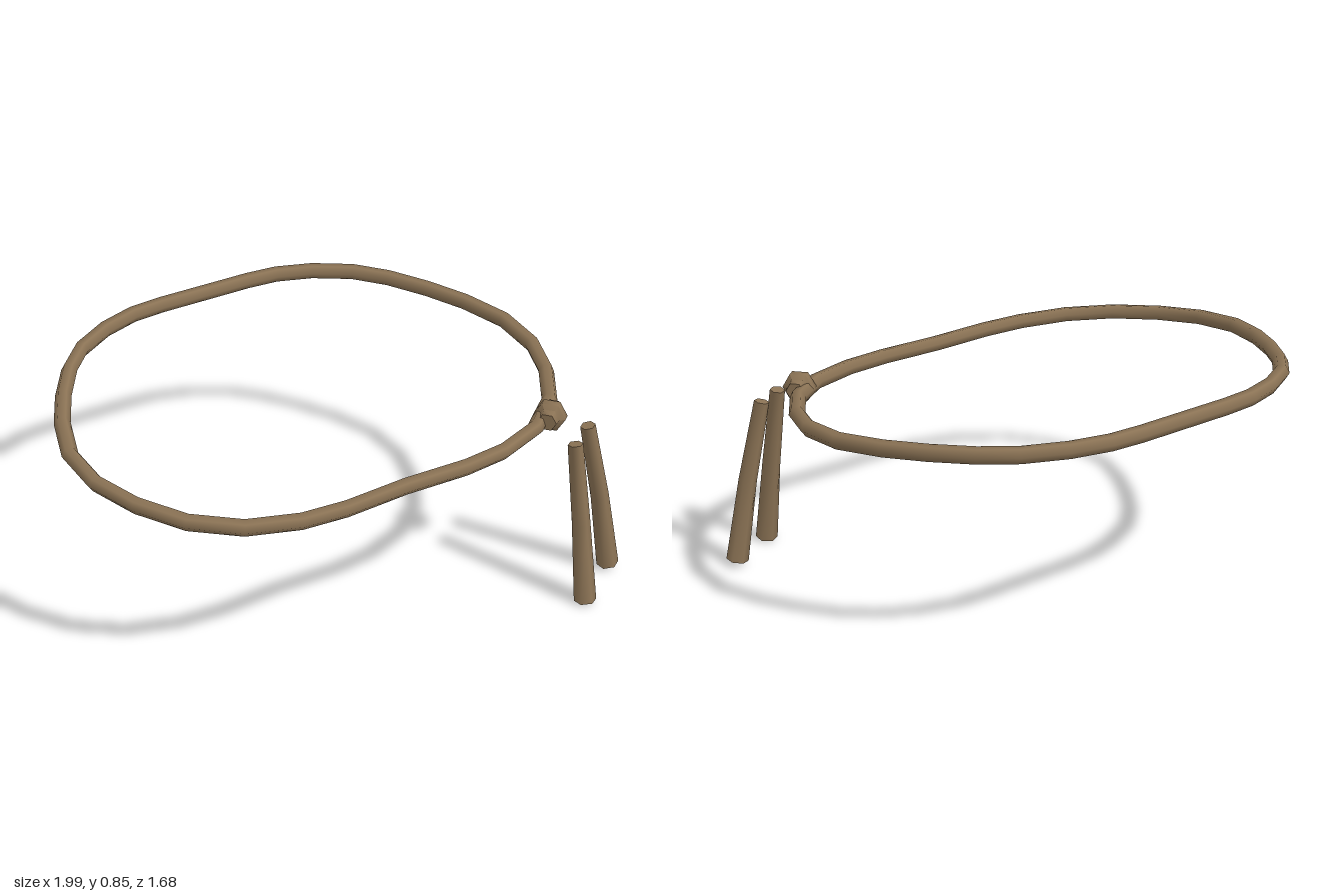
import * as THREE from 'three';
import { toCreasedNormals } from 'three/addons/utils/BufferGeometryUtils.js';

const CENTRE_X = -0.01;
const SIDES = 6;

// Half of the loop outline (x offset, z), from the back middle to the front middle
const HALF_LOOP = [
  [0.2, -0.81], [0.33, -0.8], [0.475, -0.755], [0.62, -0.672], [0.725, -0.563],
  [0.82, -0.42], [0.9, -0.265], [0.96, -0.08], [0.955, 0.115], [0.89, 0.292],
  [0.78, 0.458], [0.622, 0.578], [0.43, 0.64], [0.255, 0.655],
];

// Loop tilts gently: higher at the back
const loopPoint = (x, z) => new THREE.Vector3(CENTRE_X + x, 0.755 - 0.085 * z, z);

// Straight runs between points, with one tube ring on each point
class PolylineCurve extends THREE.Curve {
  constructor(points) {
    super();
    this.points = points;
  }
  getUtoTmapping(u) {
    return u;
  }
  getPoint(t, target = new THREE.Vector3()) {
    const n = this.points.length - 1;
    const f = THREE.MathUtils.clamp(t, 0, 1) * n;
    const i = Math.min(Math.floor(f), n - 1);
    return target.lerpVectors(this.points[i], this.points[i + 1], f - i);
  }
}

function loopGeometry() {
  const right = HALF_LOOP.map(([x, z]) => loopPoint(x, z));
  const left = HALF_LOOP.map(([x, z]) => loopPoint(-x, z)).reverse();
  const back = loopPoint(0, -0.81);
  const points = [back, ...right, loopPoint(0, 0.645), ...left, back.clone()];
  return new THREE.TubeGeometry(new PolylineCurve(points), points.length - 1, 0.031, SIDES, true);
}

// Tapered, slightly bent rope end through three centres, top to bottom
function tailGeometry(centres, radii) {
  const points = centres.map((c) => new THREE.Vector3(...c));
  const up = new THREE.Vector3(0, 1, 0);
  const turns = points.map((p, i) => {
    const axis = points[Math.max(i - 1, 0)].clone().sub(points[Math.min(i + 1, 2)]).normalize();
    return new THREE.Quaternion().setFromUnitVectors(up, axis);
  });
  const geometry = new THREE.CylinderGeometry(1, 1, 1, SIDES, 2);
  const position = geometry.attributes.position;
  const v = new THREE.Vector3();
  for (let i = 0; i < position.count; i++) {
    v.fromBufferAttribute(position, i);
    const level = Math.round((0.5 - v.y) * 2);
    v.setY(0).multiplyScalar(radii[level]).applyQuaternion(turns[level]).add(points[level]);
    position.setXYZ(i, v.x, v.y, v.z);
  }
  geometry.computeVertexNormals();
  return toCreasedNormals(geometry, Math.PI / 2.8);
}

// Faceted knot turned around the direction of the rope
function knotGeometry() {
  const profile = [
    [0, -0.058], [0.036, -0.058], [0.042, -0.028], [0.062, -0.016],
    [0.062, 0.016], [0.042, 0.028], [0.036, 0.058], [0, 0.058],
  ].map(([r, y]) => new THREE.Vector2(r, y));
  const geometry = toCreasedNormals(new THREE.LatheGeometry(profile, SIDES), Math.PI / 2.8);
  const up = new THREE.Vector3(0, 1, 0);
  const along = new THREE.Vector3(0.77, 0, -0.64).normalize();
  const out = new THREE.Vector3().crossVectors(up, along);
  return geometry.applyMatrix4(new THREE.Matrix4().makeBasis(up, along, out));
}

export function createModel() {
  const rope = new THREE.MeshStandardMaterial({ color: 0x8b7355 });
  rope.name = 'brown rope';
  const group = new THREE.Group();
  group.name = 'ropeBelt';

  const add = (name, geometry) => {
    const mesh = new THREE.Mesh(geometry, rope);
    mesh.name = name;
    group.add(mesh);
    return mesh;
  };

  add('beltLoop', loopGeometry());
  add('knot', knotGeometry()).position.set(0.705, 0.717, 0.547);

  // Hanging ends below the knot
  const radii = [0.029, 0.035, 0.043];
  add('frontTail', tailGeometry([[0.715, 0.663, 0.692], [0.727, 0.34, 0.748], [0.737, 0.008, 0.798]], radii));
  add('sideTail', tailGeometry([[0.832, 0.667, 0.617], [0.895, 0.35, 0.648], [0.953, 0.022, 0.664]], radii));

  return group;
}
